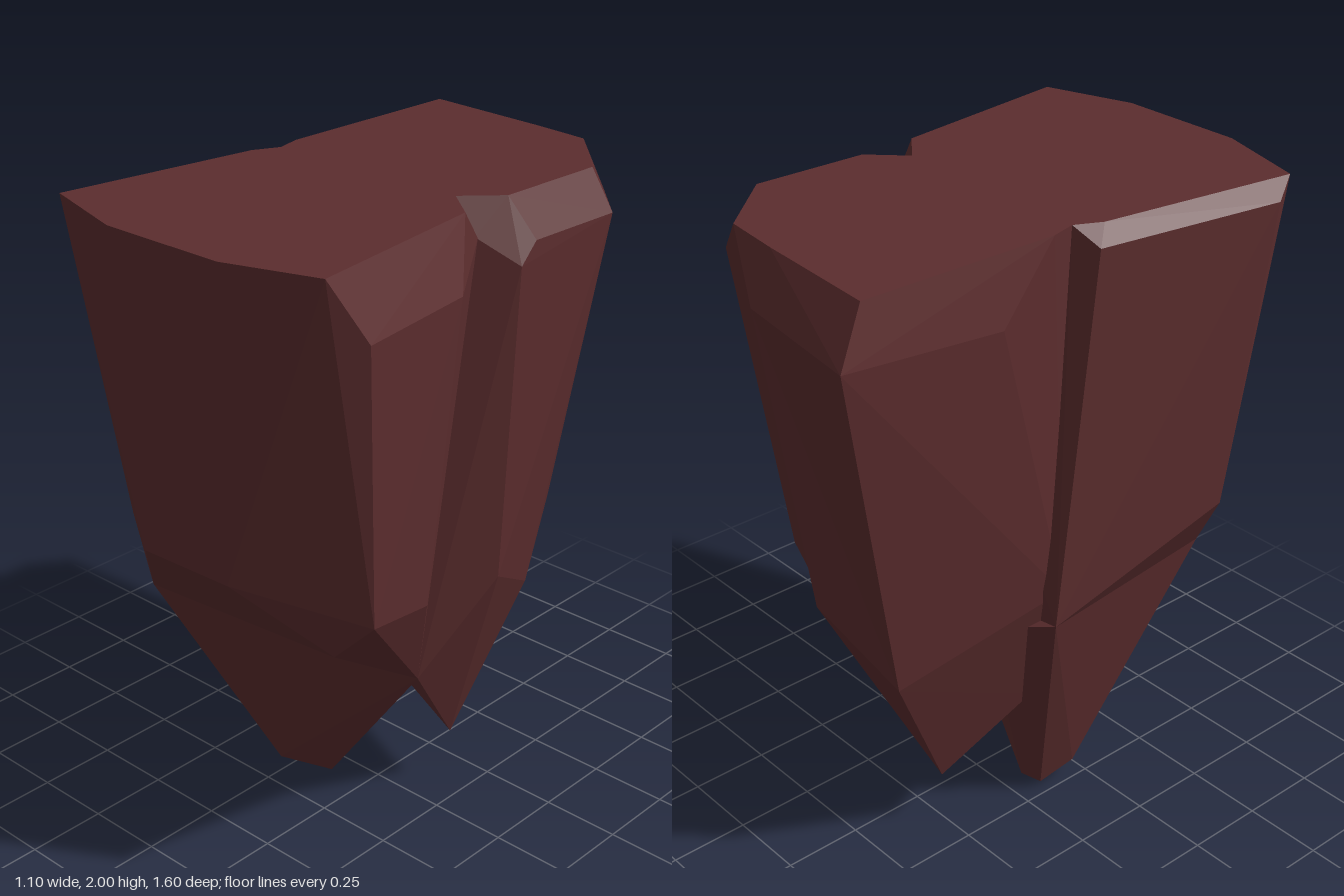
import * as THREE from 'three';
import { ConvexGeometry } from 'three/addons/geometries/ConvexGeometry.js';

export function createModel() {
  const group = new THREE.Group();
  const rock = new THREE.MeshStandardMaterial({ color: 0x5c2d2e });
  rock.name = 'darkRedRock';

  // Each shard is the convex hull of a few corner points
  const shard = (name, corners) => {
    const points = corners.map(([x, y, z]) => new THREE.Vector3(x, y, z));
    const mesh = new THREE.Mesh(new ConvexGeometry(points), rock);
    mesh.name = name;
    group.add(mesh);
  };

  // Corners shared by the front block and the point below it
  const frontSeam = [[0.27, 0.53, 0.12], [-0.37, 0.8, 0.58], [-0.44, 0.8, -0.08]];

  shard('frontShard', [
    // flat top
    [-0.51, 2, 0.71], [-0.21, 2, 0.8], [0.2, 2, 0.8], [0.48, 2, 0.71],
    [0.4, 2, 0.1], [0.29, 2, 0.01], [-0.38, 2, 0], [-0.42, 2, 0.08],
    // bevelled shoulders
    [0.545, 1.82, 0.62], [0.49, 1.82, 0.21], [0.37, 1.9, 0.01],
    [-0.55, 1.95, 0.63], [-0.46, 1.95, 0.03],
    // lower rim
    [-0.17, 1.06, 0.77], [0.16, 1.07, 0.77], [0.37, 0.85, 0.58], [0.5, 0.98, 0.56],
    [0.45, 0.92, 0.29], [-0.48, 0.99, 0.55],
    ...frontSeam,
  ]);

  shard('frontPoint', [
    ...frontSeam,
    [-0.2, 0.7, -0.13],
    [-0.24, 0.06, 0.2], [-0.22, 0.02, 0.08], [-0.13, 0, 0.08],
  ]);

  shard('backRightShard', [
    // flat top
    [0.21, 2, -0.66], [0.4, 2, -0.45], [0.39, 2, -0.09], [0.29, 2, 0.01],
    [0, 2, 0.1], [0, 2, -0.6],
    // bevelled shoulders
    [0.33, 1.88, -0.61], [0.47, 1.88, -0.46], [0.46, 1.88, -0.13],
    [0.46, 1.82, -0.07], [0.36, 1.9, 0.01],
    // lower rim
    [0.27, 0.92, -0.48], [0.35, 0.73, -0.28], [0.42, 0.86, -0.06],
    [0.27, 0.53, 0.12], [0.09, 0.62, -0.43], [0, 0.55, 0.05],
    // tip
    [0.19, 0.19, -0.13], [-0.15, 0.45, -0.33],
  ]);

  // Corners shared by the two halves of the back left shard
  const backSeam = [
    [0.02, 2, -0.68], [0.02, 1.85, -0.75], [-0.3, 0.72, -0.55],
    [-0.16, 0.2, -0.28], [-0.25, 0.42, 0], [0.05, 2, 0.05],
  ];

  shard('backLeftShard', [
    ...backSeam,
    // flat top
    [-0.39, 2, -0.71], [-0.38, 2, 0], [-0.4, 2, -0.08],
    // bevelled shoulders
    [-0.42, 1.84, -0.8], [-0.43, 1.8, -0.28],
    // lower rim
    [-0.38, 0.86, 0],
  ]);

  shard('backMiddleShard', [
    ...backSeam,
    [0.21, 2, -0.66], [0.1, 2, 0.05],
    // lower rim
    [-0.05, 0.92, -0.64], [0.09, 0.62, -0.43], [0, 0.5, 0],
  ]);

  return group;
}
